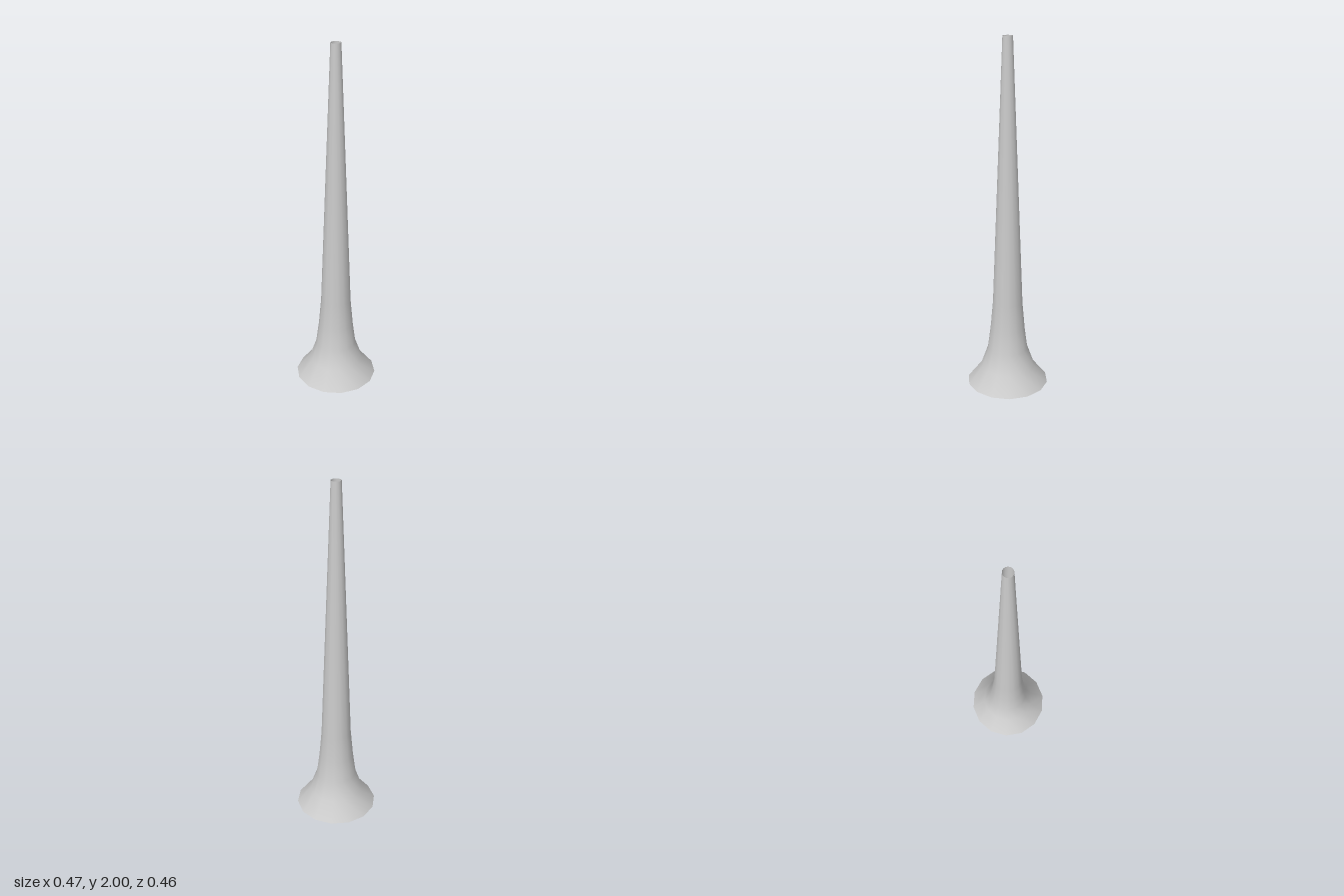
import * as THREE from 'three';

export function createModel() {
  const model = new THREE.Group();
  model.name = 'horn';
  const material = new THREE.MeshStandardMaterial({ color: 0xcccccc, side: THREE.DoubleSide });

  // Radius and height, from the flared mouth up to the narrow open end
  const profile = [
    [0.235, 0], [0.156, 0.1], [0.117, 0.21], [0.1, 0.34],
    [0.086, 0.5], [0.028, 2],
  ].map(([r, y]) => new THREE.Vector2(r, y));

  // Thin 14-sided tube, open at both ends, with a corner on the x axis
  const tube = new THREE.Mesh(new THREE.LatheGeometry(profile, 14, Math.PI / 2), material);
  tube.name = 'flaredTube';
  model.add(tube);
  return model;
}
